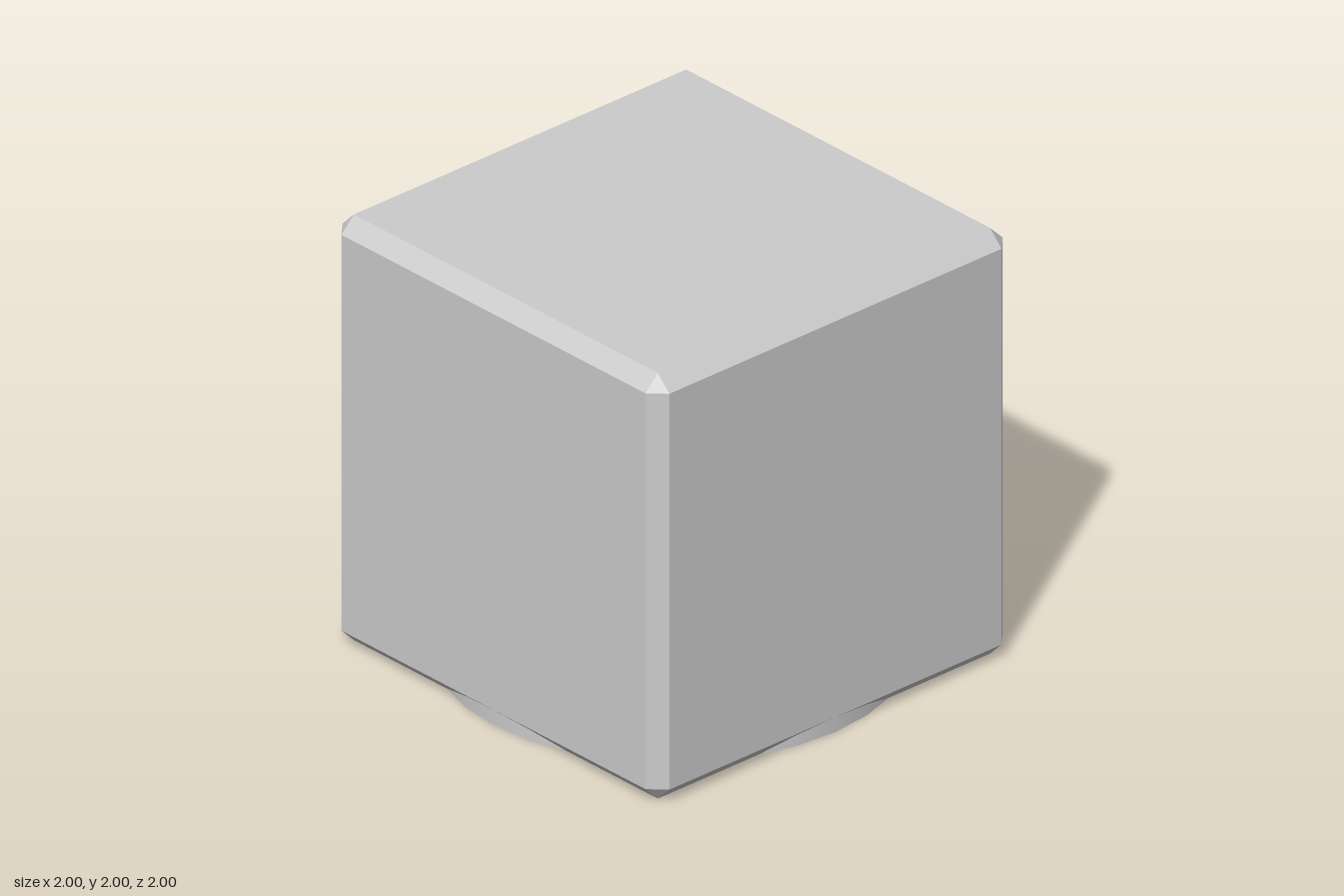
import * as THREE from 'three';
import { ConvexGeometry } from 'three/addons/geometries/ConvexGeometry.js';

const HALF = 1;
const BEVEL = 0.07;

// Cube with bevelled edges and triangular corners: each corner gives three points
function bevelledCube(half, bevel) {
  const inner = half - bevel;
  const points = [];
  for (const x of [-1, 1]) for (const y of [-1, 1]) for (const z of [-1, 1]) {
    points.push(
      new THREE.Vector3(x * half, y * inner, z * inner),
      new THREE.Vector3(x * inner, y * half, z * inner),
      new THREE.Vector3(x * inner, y * inner, z * half)
    );
  }
  return new ConvexGeometry(points);
}

export function createModel() {
  const group = new THREE.Group();
  group.name = 'bevelledBlock';
  const material = new THREE.MeshStandardMaterial({ color: 0xcccccc });

  // Main block
  const block = new THREE.Mesh(bevelledCube(HALF, BEVEL), material);
  block.name = 'block';
  block.position.y = HALF;
  group.add(block);

  // Round base, showing past the lower bevels on all four sides
  const base = new THREE.Mesh(new THREE.CylinderGeometry(HALF, HALF, BEVEL, 32), material);
  base.name = 'roundBase';
  base.position.y = BEVEL / 2;
  group.add(base);

  return group;
}
